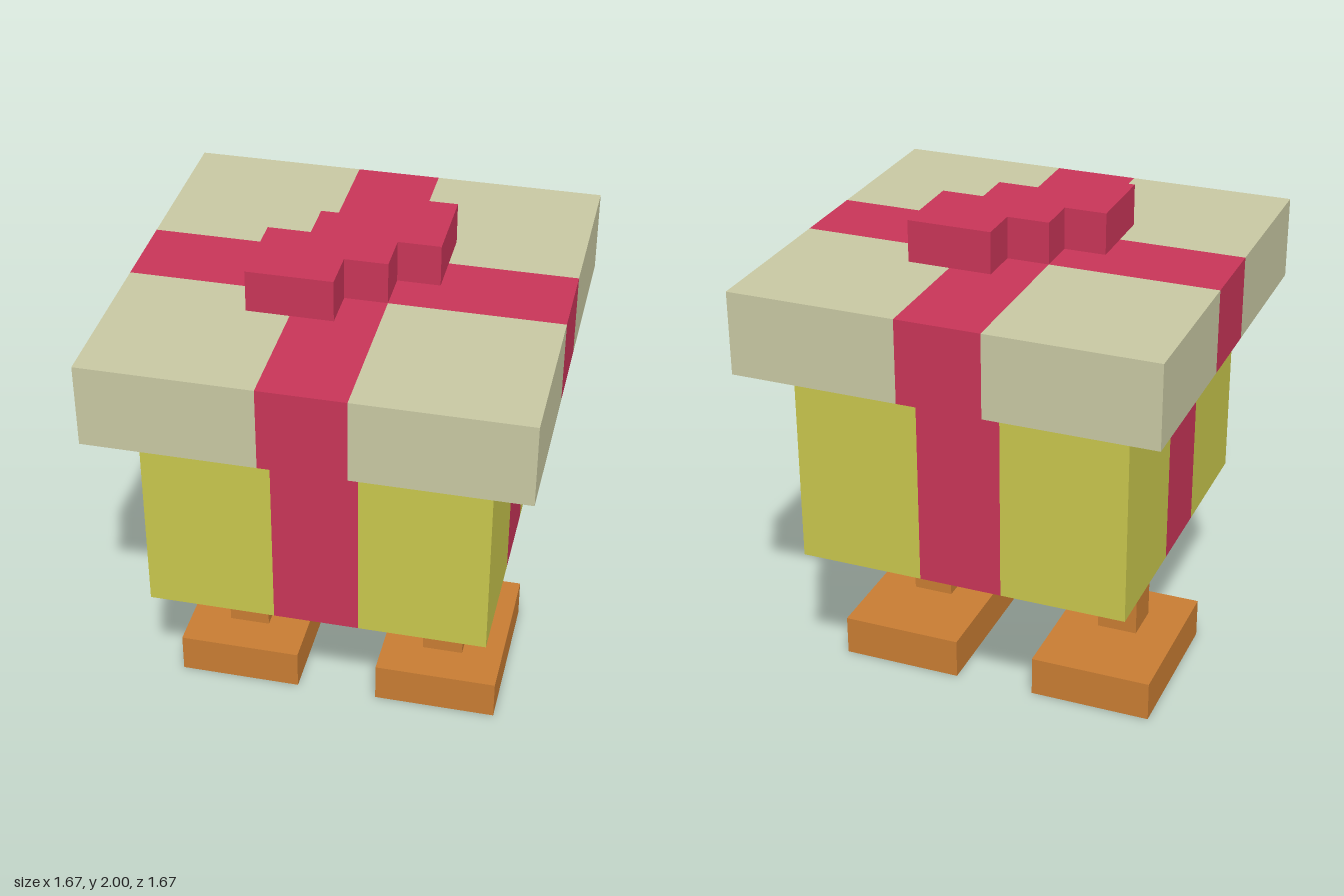
import * as THREE from 'three';

const U = 1 / 6; // every part sits on this grid

function material(name, color) {
  const m = new THREE.MeshStandardMaterial({ color });
  m.name = name;
  return m;
}

// Square box wrapped by a cross of ribbon, flush with its faces
function wrappedBox(name, width, height, y, paper, ribbon) {
  const geo = new THREE.BoxGeometry(width, height, width, 3, 1, 3);
  const pos = geo.attributes.position;
  const snap = (v) => (Math.abs(v) < width / 4 ? Math.sign(v) * U : v);
  for (let i = 0; i < pos.count; i++) {
    pos.setX(i, snap(pos.getX(i)));
    pos.setZ(i, snap(pos.getZ(i)));
  }
  // One group per quad: ribbon where the quad's middle lies on either band
  geo.clearGroups();
  const index = geo.index;
  for (let q = 0; q < index.count; q += 6) {
    let x = 0, z = 0;
    for (let k = 0; k < 6; k++) {
      x += pos.getX(index.getX(q + k)) / 6;
      z += pos.getZ(index.getX(q + k)) / 6;
    }
    geo.addGroup(q, 6, Math.abs(x) < U || Math.abs(z) < U ? 1 : 0);
  }
  const mesh = new THREE.Mesh(geo, [paper, ribbon]);
  mesh.name = name;
  mesh.position.y = y + height / 2;
  return mesh;
}

// Plain block standing on height y
function block(name, w, h, d, x, y, z, mat) {
  const mesh = new THREE.Mesh(new THREE.BoxGeometry(w, h, d), mat);
  mesh.name = name;
  mesh.position.set(x, y + h / 2, z);
  return mesh;
}

export function createModel() {
  const yellow = material('yellow paper', 0xc9c74d);
  const cream = material('cream lid', 0xc9c9a3);
  const red = material('red ribbon', 0xc93558);
  const orange = material('orange legs', 0xc97d33);

  const model = new THREE.Group();
  model.name = 'walkingGiftBox';

  model.add(wrappedBox('giftBox', 8 * U, 5 * U, 4 * U, yellow, red));
  model.add(wrappedBox('lid', 10 * U, 2 * U, 9 * U, cream, red));

  // Stepped bow lying diagonally across the lid
  const outline = [
    [-2, -2], [0, -2], [0, -1], [1, -1], [1, 0], [2, 0],
    [2, 2], [0, 2], [0, 1], [-1, 1], [-1, 0], [-2, 0],
  ].map(([x, y]) => new THREE.Vector2(x * U, y * U));
  const bowGeo = new THREE.ExtrudeGeometry(new THREE.Shape(outline), { depth: U, bevelEnabled: false });
  bowGeo.rotateX(-Math.PI / 2);
  const bow = new THREE.Mesh(bowGeo, red);
  bow.name = 'bow';
  bow.position.y = 11 * U;
  model.add(bow);

  // Legs with flat feet
  for (const [side, s] of [['left', 1], ['right', -1]]) {
    const leg = new THREE.Group();
    leg.name = side + 'Leg';
    leg.add(block(side + 'Shin', U, 3 * U, U, s * 2.5 * U, U, U / 2, orange));
    leg.add(block(side + 'Foot', 3 * U, U, 4 * U, s * 2.5 * U, 0, 0, orange));
    model.add(leg);
  }
  return model;
}
